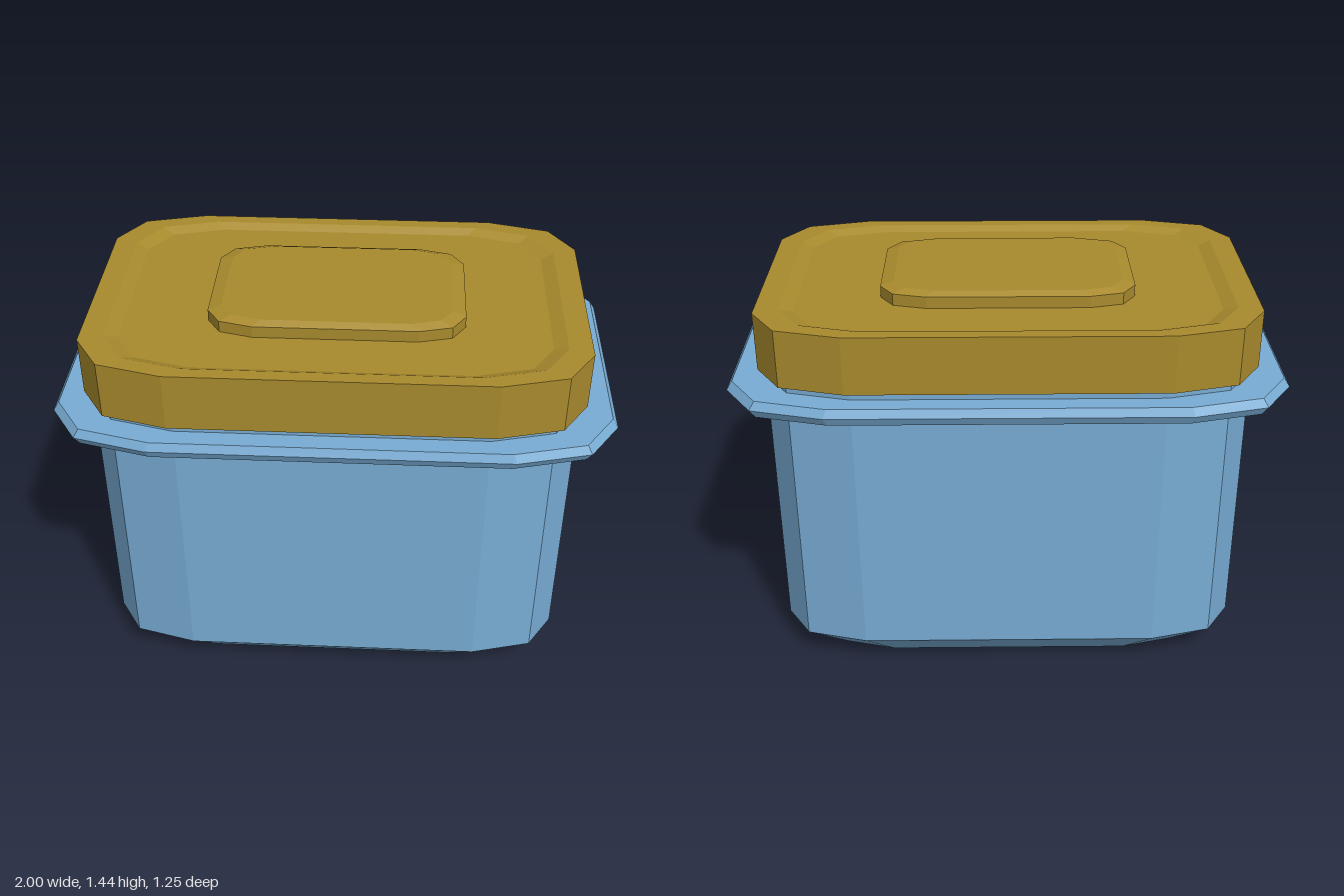
import * as THREE from 'three';

// Twelve-sided rounded rectangle, one quarter in unit form
const QUARTER = [[1, 0.64], [0.895, 0.895], [0.635, 1]];

function ring([y, hx, hz]) {
  const pts = [];
  for (const [sx, sz] of [[1, -1], [-1, -1], [-1, 1], [1, 1]]) {
    const quarter = sx * sz < 0 ? QUARTER : [...QUARTER].reverse();
    for (const [u, v] of quarter) pts.push([sx * hx * u, y, sz * hz * v]);
  }
  return pts;
}

// Closed solid through cross-sections [y, halfWidth, halfDepth], capped at both ends
function loft(name, sections, material) {
  const rings = sections.map(ring);
  const pos = [];
  const tri = (a, b, c) => pos.push(...a, ...b, ...c);
  const n = rings[0].length;
  const last = rings.length - 1;
  const bottom = [0, sections[0][0], 0];
  const top = [0, sections[last][0], 0];
  for (let i = 0; i < n; i++) {
    const j = (i + 1) % n;
    for (let k = 0; k < last; k++) {
      const lo = rings[k], hi = rings[k + 1];
      tri(lo[i], lo[j], hi[j]);
      tri(lo[i], hi[j], hi[i]);
    }
    tri(bottom, rings[0][j], rings[0][i]);
    tri(top, rings[last][i], rings[last][j]);
  }
  const geometry = new THREE.BufferGeometry();
  geometry.setAttribute('position', new THREE.Float32BufferAttribute(pos, 3));
  geometry.computeVertexNormals();
  const mesh = new THREE.Mesh(geometry, material);
  mesh.name = name;
  return mesh;
}

export function createModel() {
  const blue = new THREE.MeshStandardMaterial({ color: 0x78acd4 });
  blue.name = 'blue';
  const ochre = new THREE.MeshStandardMaterial({ color: 0xa88a2d });
  ochre.name = 'ochre';

  const group = new THREE.Group();
  group.name = 'lidded container';
  group.add(
    // Tub with a tapered foot
    loft('body', [[0, 0.71, 0.445], [0.115, 0.865, 0.543], [1.2, 0.865, 0.543]], blue),
    // Bevelled rim around the tub
    loft('flange', [[1.095, 0.98, 0.61], [1.127, 1, 0.625], [1.158, 0.98, 0.612]], blue),
    // Lid with a shallow sunken top
    loft('lid', [[1.19, 0.89, 0.57], [1.405, 0.89, 0.57], [1.405, 0.805, 0.52],
      [1.388, 0.757, 0.487]], ochre),
    // Raised panel in the middle of the lid
    loft('lidPanel', [[1.385, 0.457, 0.29], [1.431, 0.457, 0.29], [1.444, 0.41, 0.262]], ochre),
  );
  return group;
}
